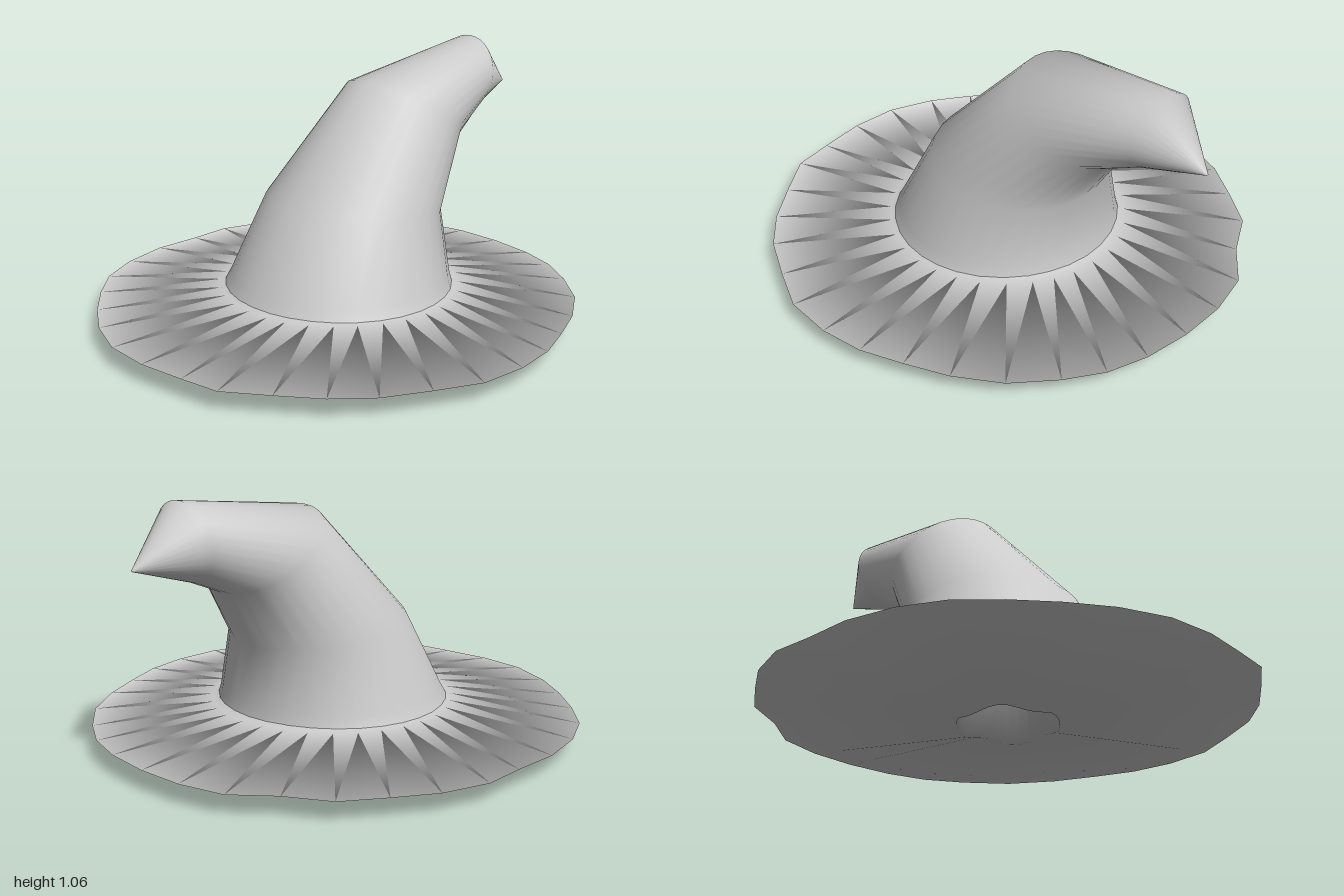
import * as THREE from 'three';

// Brim outline seen from above, as x, z pairs
const RIM = [
  0.98, 0, 0.97, -0.2, 0.92, -0.39, 0.79, -0.54, 0.69, -0.71, 0.53, -0.82, 0.37, -0.92, 0.18, -0.98,
  0, -0.97, -0.2, -0.97, -0.4, -0.92, -0.57, -0.83, -0.7, -0.7, -0.82, -0.55, -0.92, -0.39, -0.99, -0.2,
  -1, 0, -0.97, 0.2, -0.94, 0.37, -0.82, 0.53, -0.7, 0.68, -0.56, 0.8, -0.38, 0.89, -0.2, 0.97,
  0, 0.98, 0.18, 0.95, 0.35, 0.88, 0.52, 0.8, 0.69, 0.68, 0.82, 0.52, 0.91, 0.37, 0.96, 0.2,
];

// Rim points sorted by angle, so every ring shares the same directions
const rim = [];
for (let i = 0; i < RIM.length; i += 2) rim.push(new THREE.Vector3(RIM[i], 0.085, RIM[i + 1]));
rim.sort((a, b) => Math.atan2(a.z, a.x) - Math.atan2(b.z, b.x));
const angles = rim.map((p) => Math.atan2(p.z, p.x));

// Smooth skin over a stack of closed rings
function loft(rings) {
  const n = angles.length;
  const index = [];
  for (let r = 0; r < rings.length - 1; r++) {
    for (let j = 0; j < n; j++) {
      const k = (j + 1) % n;
      const a = r * n + j, b = r * n + k, c = a + n, d = b + n;
      index.push(a, c, b, b, c, d);
    }
  }
  const geometry = new THREE.BufferGeometry().setFromPoints(rings.flat());
  geometry.setIndex(index);
  geometry.computeVertexNormals();
  return geometry;
}

// Level circle; y may vary with the angle
const circle = (radius, y) => angles.map((a) => new THREE.Vector3(
  radius * Math.cos(a), typeof y === 'function' ? y(a) : y, radius * Math.sin(a)));

// Tilted oval between its left and right ends in the x-y plane
const oval = ([x0, y0, x1, y1, halfZ, midZ]) => angles.map((a) => {
  const t = (1 + Math.cos(a)) / 2;
  return new THREE.Vector3(x0 + (x1 - x0) * t, y0 + (y1 - y0) * t, midZ + halfZ * Math.sin(a));
});

export function createModel() {
  const hat = new THREE.Group();
  hat.name = 'pointedHat';
  const material = new THREE.MeshStandardMaterial({ color: 0xcccccc, side: THREE.DoubleSide });
  const add = (name, rings) => {
    const mesh = new THREE.Mesh(loft(rings), material);
    mesh.name = name;
    hat.add(mesh);
  };

  // Brim: head opening, wavy lower lip, thin outer edge, upper face
  add('brim', [
    circle(0.005, 0.42),
    circle(0.15, 0.36),
    circle(0.2, (a) => 0.01 + 0.01 * Math.sin(5 * a)),
    rim,
    circle(0.485, 0.15),
    circle(0.455, 0.162),
  ]);

  // Crown: bends over to the left and closes in a drooping tip
  add('crown', [
    [-0.465, 0.155, 0.455, 0.155, 0.47, 0],
    [-0.44, 0.2, 0.447, 0.2, 0.45, 0],
    [-0.27, 0.52, 0.425, 0.44, 0.365, 0],
    [0.15, 0.96, 0.58, 0.68, 0.255, 0],
    [0.79, 1.06, 0.74, 0.75, 0.155, -0.02],
    [0.998, 0.836, 0.992, 0.83, 0.004, -0.01],
  ].map(oval));

  return hat;
}
